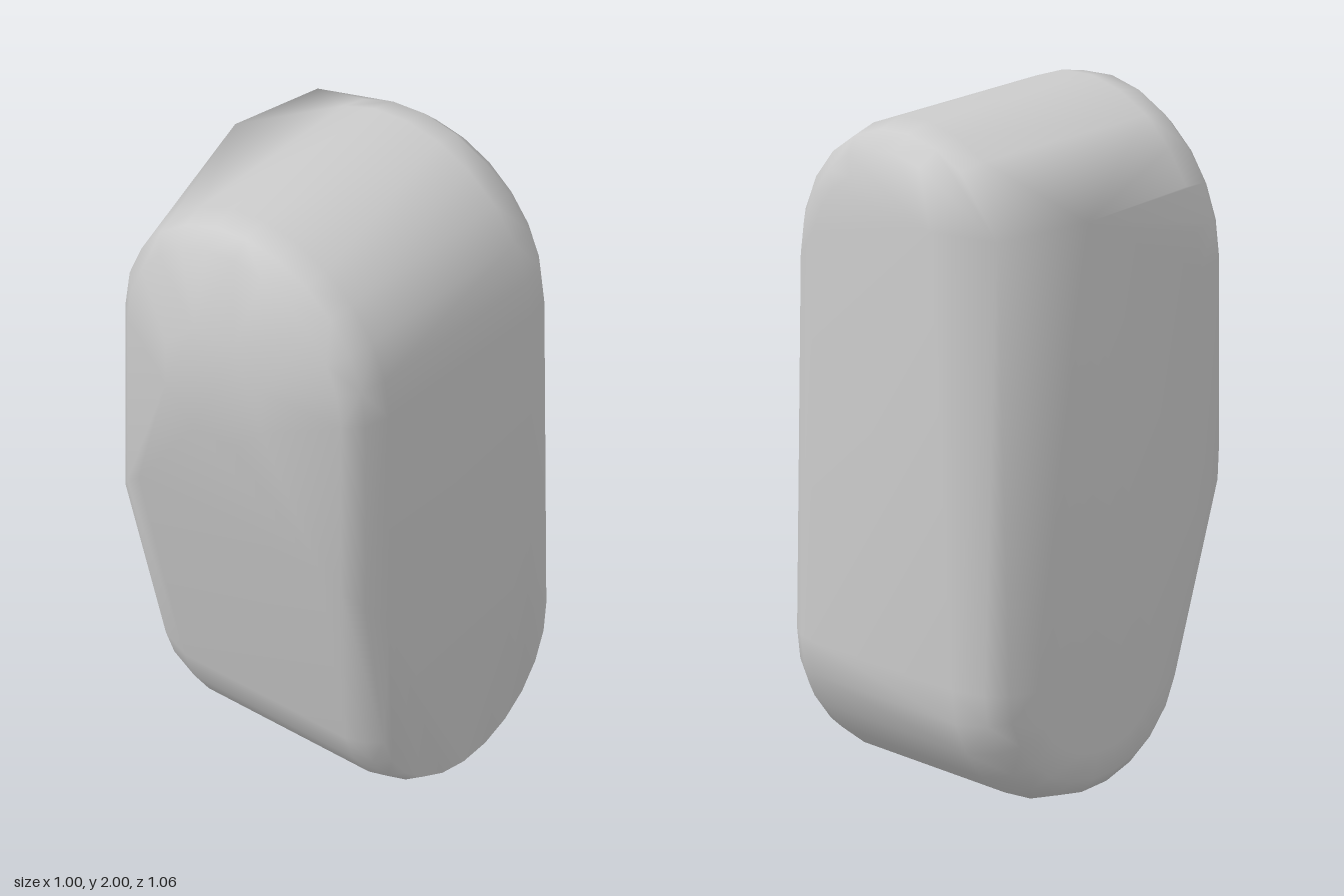
import * as THREE from 'three';
import { ConvexGeometry } from 'three/addons/geometries/ConvexGeometry.js';
import { mergeVertices } from 'three/addons/utils/BufferGeometryUtils.js';

export function createModel() {
  const points = [];
  const add = (x, y, z) => points.push(new THREE.Vector3(x, y, z));

  // Upper body: arch running front to back, with rounded rims [z, inset, lower end]
  const rims = [[0.31, 0, 0.78], [0.39, 0.02, 0.88], [0.44, 0.07, 0.95], [0.46, 0.13, 1.0]];
  for (const side of [1, -1]) {
    for (const [z, inset, low] of rims) {
      const r = 0.47 - inset;
      for (let i = 0; i <= 12; i++) {
        const a = (i / 12) * Math.PI;
        add(0.03 + r * Math.cos(a), 1.53 + r * Math.sin(a), side * z);
      }
      add(0.03 + r, low, side * z);
      add(0.03 - r, low, side * z);
    }
  }

  // Lower body: half round running left to right, with rounded ends [x, inset]
  const ends = [[-0.44, 0.17], [-0.42, 0.085], [-0.37, 0.035], [-0.27, 0], [0.33, 0], [0.39, 0.015], [0.44, 0.045]];
  for (const [x, inset] of ends) {
    const r = 0.405 - inset;
    for (let i = 0; i <= 12; i++) {
      const a = (i / 12) * Math.PI;
      add(x, 0.405 - r * Math.sin(a), -0.085 + r * Math.cos(a));
    }
  }

  // Shallow bulge on the front
  for (let i = 0; i < 8; i++) {
    const a = ((i + 0.5) / 8) * Math.PI * 2;
    add(0.03 + 0.195 * Math.cos(a), 1.53 + 0.195 * Math.sin(a), 0.53);
  }

  // Raised shoulder at the rear corner
  add(-0.5, 1.8, -0.18);
  add(-0.44, 1.79, -0.47);
  add(-0.22, 1.78, -0.53);

  // One smooth skin around all of it
  const hull = new ConvexGeometry(points);
  hull.deleteAttribute('normal');
  const skin = mergeVertices(hull, 1e-4);
  skin.computeVertexNormals();

  const body = new THREE.Mesh(skin, new THREE.MeshStandardMaterial({ color: 0xcccccc }));
  body.name = 'body';
  const group = new THREE.Group();
  group.name = 'roundedBlock';
  group.add(body);
  return group;
}
